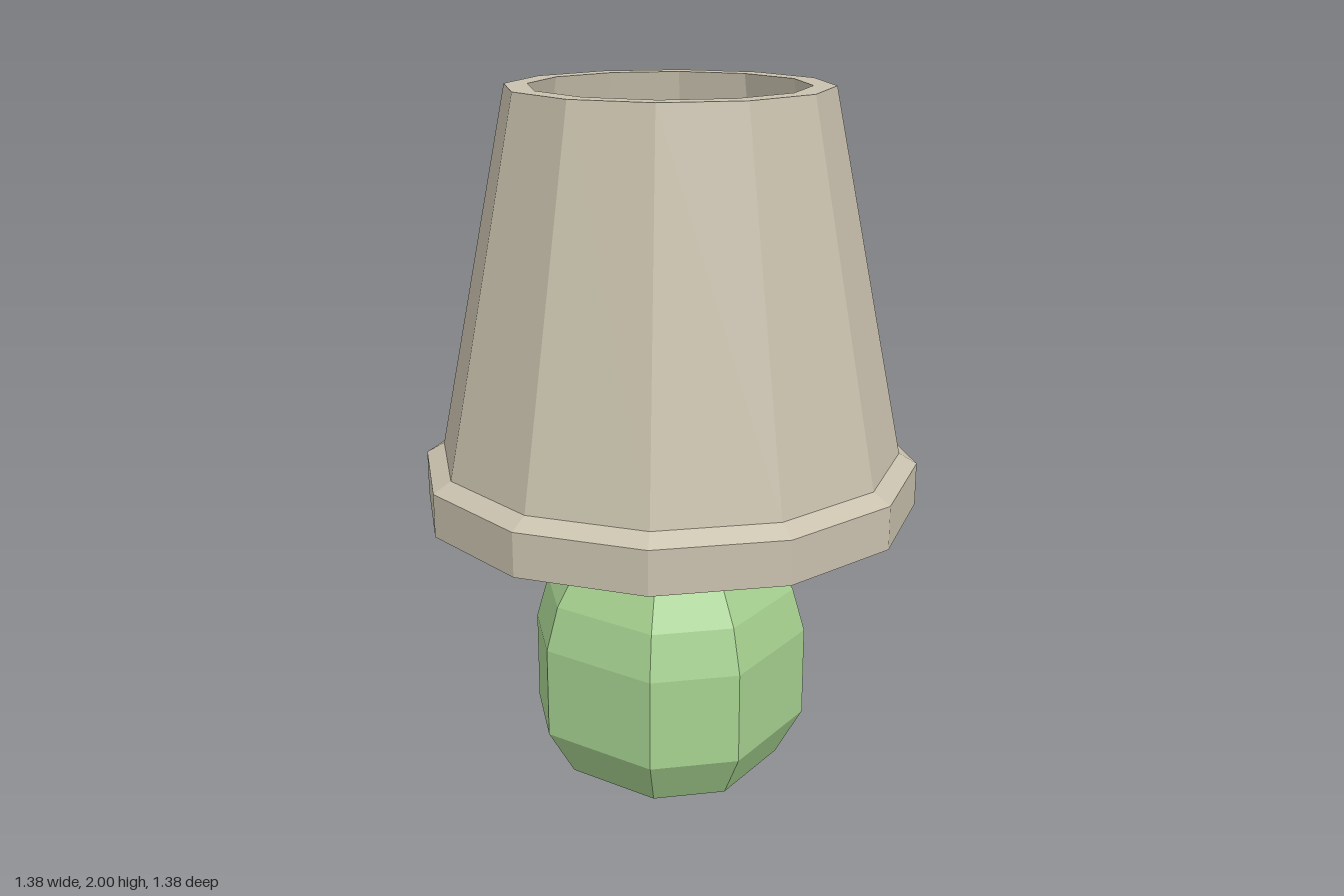
import * as THREE from 'three';

// Chamfered-square outline: half width r, flat half width c, shifted by z
const outline = ({ r, c, y, z = 0 }) =>
  [[-c, r], [c, r], [r, c], [r, -c], [c, -r], [-c, -r], [-r, -c], [-r, c]]
    .map(([px, pz]) => [px, y, pz + z]);

// Skin a stack of outlines, closed at both ends, with separate flat faces
function loft(levels) {
  const rings = levels.map(outline);
  const pos = [];
  const tri = (a, b, c) => pos.push(...a, ...b, ...c);
  for (let i = 0; i < rings.length - 1; i++) {
    for (let j = 0; j < 8; j++) {
      const k = (j + 1) % 8;
      tri(rings[i][j], rings[i][k], rings[i + 1][k]);
      tri(rings[i][j], rings[i + 1][k], rings[i + 1][j]);
    }
  }
  const low = rings[0], high = rings[rings.length - 1];
  for (let j = 1; j < 7; j++) {
    tri(low[0], low[j + 1], low[j]);
    tri(high[0], high[j], high[j + 1]);
  }
  const geo = new THREE.BufferGeometry();
  geo.setAttribute('position', new THREE.Float32BufferAttribute(pos, 3));
  geo.computeVertexNormals();
  return geo;
}

export function createModel() {
  const model = new THREE.Group();
  model.name = 'tableLamp';

  const material = (name, color) => {
    const m = new THREE.MeshStandardMaterial({ color, flatShading: true });
    m.name = name;
    return m;
  };
  const beige = material('warm beige', 0xc9c1ae);
  const green = material('leaf green', 0xa6d190);
  const black = material('charcoal', 0x363636);

  const add = (name, geo, mat) => {
    const mesh = new THREE.Mesh(geo, mat);
    mesh.name = name;
    model.add(mesh);
    return mesh;
  };

  // Vase-like base with a flared neck
  add('base', loft([
    { y: 0, r: 0.31, c: 0.105 },
    { y: 0.14, r: 0.385, c: 0.128 },
    { y: 0.41, r: 0.385, c: 0.128 },
    { y: 0.54, r: 0.35, c: 0.117 },
    { y: 0.68, r: 0.27, c: 0.09 },
    { y: 0.95, r: 0.31, c: 0.08 },
  ]), green);

  // Bulb rising from the neck
  add('bulb', loft([
    { y: 0.94, r: 0.13, c: 0.06 },
    { y: 1.1, r: 0.23, c: 0.08 },
    { y: 1.3, r: 0.23, c: 0.08 },
    { y: 1.46, r: 0.075, c: 0.075 },
  ]), beige);

  // Four tapering arms that carry the shade
  const armGeo = loft([
    { y: 0.94, r: 0.075, c: 0.06, z: 0.26 },
    { y: 1.15, r: 0.075, c: 0.06, z: 0.3 },
    { y: 1.5, r: 0.068, c: 0.05, z: 0.31 },
    { y: 1.84, r: 0.045, c: 0.03, z: 0.38 },
  ]);
  for (let i = 0; i < 4; i++) {
    add('shadeArm', armGeo, black).rotation.y = i * Math.PI / 2;
  }

  // Hollow twelve-sided shade with a thick lower rim; radii measured to the flats
  const toCorner = 1 / Math.cos(Math.PI / 12);
  const profile = [
    [0.585, 0.81], [0.69, 0.81], [0.69, 0.935], [0.64, 0.965],
    [0.437, 2], [0.375, 2], [0.585, 0.81],
  ].map(([r, y]) => new THREE.Vector2(r * toCorner, y));
  add('shade', new THREE.LatheGeometry(profile, 12, Math.PI / 12), beige);

  return model;
}
